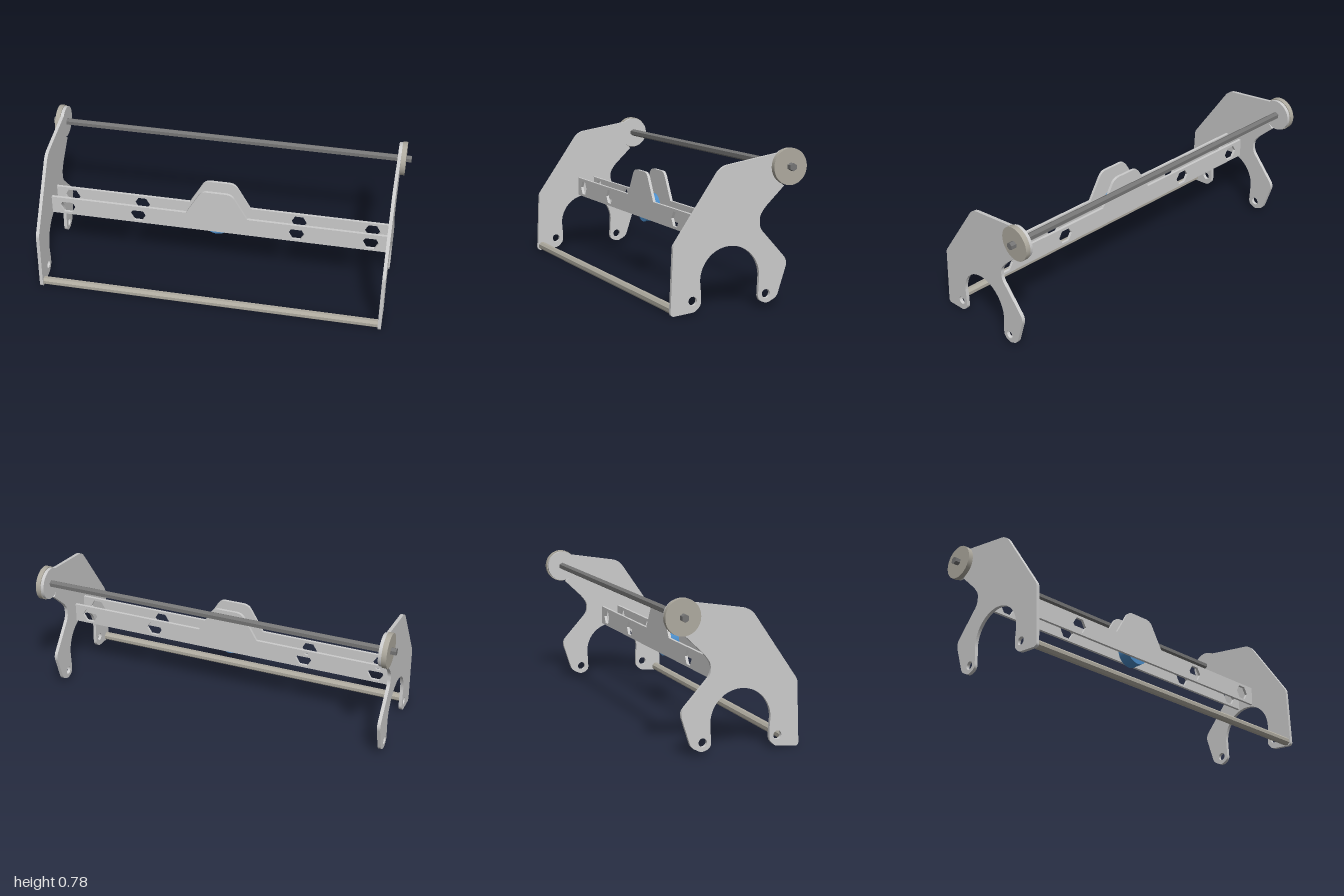
import * as THREE from 'three';

const grey = new THREE.MeshStandardMaterial({ color: 0xcccccc });
const warm = new THREE.MeshStandardMaterial({ color: 0xaeaa9f });
const dark = new THREE.MeshStandardMaterial({ color: 0x757575 });
const blue = new THREE.MeshStandardMaterial({ color: 0x4a8cc8 });

function add(parent, name, geometry, material, x = 0, y = 0, z = 0) {
  const mesh = new THREE.Mesh(geometry, material);
  mesh.name = name;
  mesh.position.set(x, y, z);
  parent.add(mesh);
  return mesh;
}

// Prism or cylinder along x; spin turns its section about the axis
function rodX(radius, length, sides, spin = 0) {
  let g = new THREE.CylinderGeometry(radius, radius, length, sides);
  g.rotateY(spin);
  if (sides < 12) {
    g = g.toNonIndexed();
    g.computeVertexNormals();
  }
  return g.rotateZ(Math.PI / 2);
}

// Continues a path through corners [x, y, cut], each rounded by its cut length
function roundedCorners(shape, points, end) {
  const all = [...points, end];
  let prev = shape.currentPoint.clone();
  points.forEach(([x, y, cut], i) => {
    const p = new THREE.Vector2(x, y);
    const next = new THREE.Vector2(all[i + 1][0], all[i + 1][1]);
    const a = prev.clone().sub(p).setLength(cut).add(p);
    const b = next.sub(p).setLength(cut).add(p);
    shape.lineTo(a.x, a.y);
    shape.quadraticCurveTo(p.x, p.y, b.x, b.y);
    prev = p;
  });
  shape.lineTo(end[0], end[1]);
}

// Side plate outline, drawn with z across and y up
function plateShape() {
  const s = new THREE.Shape();
  s.moveTo(-0.117, 0.16);
  s.absarc(0.044, 0.16, 0.161, Math.PI, 0, true);
  roundedCorners(s, [
    [0.2, 0.1, 0.02], [0.2, 0.045, 0.015], [0.231, 0.013, 0.018],
    [0.362, 0.0, 0.022], [0.348, 0.341, 0.014], [0.093, 0.708, 0.04],
  ], [-0.212, 0.758]);
  s.absarc(-0.27, 0.692, 0.086, 0.85, Math.PI * 1.74, false);
  s.lineTo(-0.25, 0.597);
  roundedCorners(s, [
    [-0.142, 0.494, 0.028], [-0.117, 0.455, 0.016], [-0.117, 0.398, 0.026],
    [-0.275, 0.225, 0.033], [-0.217, 0.048, 0.022], [-0.16, 0.018, 0.024],
    [-0.111, 0.04, 0.025],
  ], [-0.117, 0.16]);
  // Bolt holes in the feet
  for (const z of [0.244, -0.156]) {
    s.holes.push(new THREE.Path().absarc(z, 0.068, 0.022, 0, Math.PI * 2, true));
  }
  return s;
}

// Cross bar outline with raised middle tab and hexagonal holes
function barShape() {
  const s = new THREE.Shape();
  s.moveTo(-0.93, 0.325);
  s.lineTo(0.93, 0.325);
  s.lineTo(0.93, 0.43);
  s.lineTo(0.168, 0.43);
  roundedCorners(s, [[0.082, 0.58, 0.032], [-0.082, 0.58, 0.032]], [-0.168, 0.43]);
  s.lineTo(-0.93, 0.43);
  s.closePath();
  for (const x of [-0.838, -0.438, 0.438, 0.838]) {
    const hole = [];
    for (let i = 0; i < 6; i++) {
      const a = -i * Math.PI / 3;
      hole.push(new THREE.Vector2(x + 0.044 * Math.cos(a), 0.377 + 0.044 * Math.sin(a)));
    }
    s.holes.push(new THREE.Path(hole));
  }
  return s;
}

export function createModel() {
  const model = new THREE.Group();
  model.name = 'rollerFrame';

  // Side plates with end discs
  const t = 0.018;
  const plate = new THREE.ExtrudeGeometry(plateShape(), { depth: t, bevelEnabled: false, curveSegments: 24 });
  plate.rotateY(-Math.PI / 2);
  for (const [side, label] of [[1, 'left'], [-1, 'right']]) {
    add(model, label + 'SidePlate', plate, grey, side > 0 ? 0.945 : -0.945 + t);
    add(model, label + 'EndDisc', rodX(0.091, 0.026, 48), warm, side * 0.958, 0.692, -0.27);
  }

  // Upper hexagonal shaft and lower front rod
  add(model, 'upperShaft', rodX(0.02, 2, 6, Math.PI / 2), dark, 0, 0.692, -0.27);
  add(model, 'lowerRod', rodX(0.023, 1.88, 8, Math.PI / 8), warm, 0, 0.027, 0.333);

  // Two parallel cross bars
  const bar = new THREE.ExtrudeGeometry(barShape(), { depth: 0.015, bevelEnabled: false });
  add(model, 'rearCrossBar', bar, grey, 0, 0, -0.02);
  add(model, 'frontCrossBar', bar, grey, 0, 0, 0.081);

  // Centre wheel on its axle between the bars
  const wheel = new THREE.CylinderGeometry(0.076, 0.076, 0.07, 40).rotateX(Math.PI / 2);
  add(model, 'centreWheel', wheel, blue, 0, 0.376, 0.045);
  const axle = rodX(0.019, 0.1, 6).rotateY(Math.PI / 2);
  add(model, 'wheelAxle', axle, dark, 0, 0.376, 0.038);

  return model;
}
